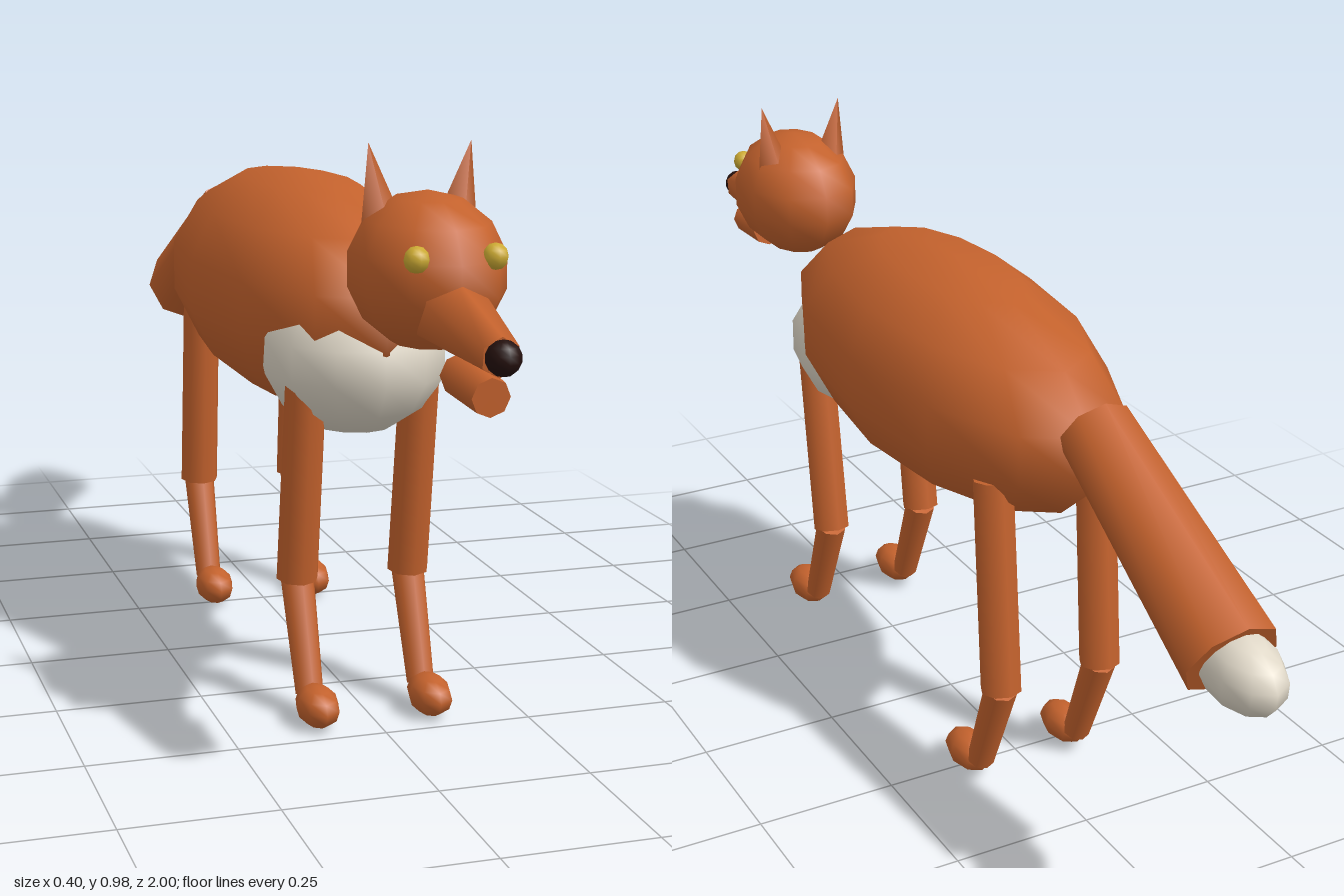
import * as THREE from 'three';

const mat = (name, color) => {
  const m = new THREE.MeshStandardMaterial({ color });
  m.name = name;
  return m;
};

export function createModel() {
  const fur = mat('russet fur', 0xc4622d);
  const cream = mat('cream fur', 0xe0d8c8);
  const amber = mat('amber eye', 0xccaa33);
  const black = mat('dark nose', 0x24100d);

  const group = new THREE.Group();

  function add(name, geometry, material, pos, parent = group) {
    const mesh = new THREE.Mesh(geometry, material);
    mesh.name = name;
    mesh.position.set(...pos);
    parent.add(mesh);
    return mesh;
  }

  // Low-segment ellipsoid with the given radii
  function ball(name, material, pos, radii, segs = 10, rings = 7, parent = group) {
    const g = new THREE.SphereGeometry(1, segs, rings);
    // a meridian faces straight ahead
    g.rotateY(Math.PI / 2);
    g.scale(...radii);
    g.computeVertexNormals();
    const smooth = new THREE.SphereGeometry(1, segs, rings);
    smooth.rotateY(Math.PI / 2);
    smooth.scale(...radii);
    return add(name, smooth, material, pos, parent);
  }

  // Tapered limb running from point a (radius ra) to point b (radius rb)
  function limb(name, material, a, b, ra, rb, sides = 8, parent = group) {
    const A = new THREE.Vector3(...a), B = new THREE.Vector3(...b);
    const dir = B.clone().sub(A);
    const g = new THREE.CylinderGeometry(rb, ra, dir.length(), sides);
    const mesh = add(name, g, material, A.add(B).multiplyScalar(0.5).toArray(), parent);
    mesh.quaternion.setFromUnitVectors(new THREE.Vector3(0, 1, 0), dir.normalize());
    return mesh;
  }

  // Torso and chest
  ball('body', fur, [0, 0.67, 0], [0.205, 0.203, 0.5], 12);
  ball('chest', cream, [0, 0.6, 0.31], [0.155, 0.135, 0.18], 12);

  // Head
  const head = new THREE.Group();
  head.name = 'head';
  group.add(head);
  ball('skull', fur, [0, 0.79, 0.665], [0.118, 0.12, 0.154], 10, 7, head);
  limb('snout', fur, [0, 0.742, 0.77], [0, 0.715, 0.965], 0.058, 0.03, 6, head);
  limb('lowerJaw', fur, [0, 0.662, 0.815], [0, 0.652, 0.932], 0.033, 0.029, 8, head);
  ball('nose', black, [0, 0.716, 0.974], [0.026, 0.026, 0.026], 10, 7, head);
  for (const s of [1, -1]) {
    ball('eye', amber, [s * 0.06, 0.826, 0.788], [0.02, 0.02, 0.02], 8, 6, head);
    limb('ear', fur, [s * 0.06, 0.86, 0.63], [s * 0.081, 0.978, 0.63], 0.032, 0, 4, head);
  }

  // Legs: hip, knee, ankle and paw positions along z
  const legs = [
    ['front', 0.373, 0.317, 0.39, 0.435],
    ['hind', -0.335, -0.37, -0.3, -0.255],
  ];
  for (const s of [1, -1]) {
    for (const [name, hip, knee, ankle, paw] of legs) {
      const leg = new THREE.Group();
      leg.name = name + (s > 0 ? 'LeftLeg' : 'RightLeg');
      group.add(leg);
      const x = s * 0.098;
      limb('upperLeg', fur, [x, 0.606, hip], [x, 0.22, knee], 0.035, 0.036, 8, leg);
      limb('lowerLeg', fur, [x, 0.222, knee], [x, 0.04, ankle], 0.029, 0.024, 8, leg);
      ball('paw', fur, [x, 0.034, paw], [0.036, 0.034, 0.058], 8, 6, leg);
    }
  }

  // Tail with a pale tip
  limb('tail', fur, [0, 0.735, -0.487], [0, 0.525, -0.885], 0.063, 0.08, 8);
  const tip = ball('tailTip', cream, [0, 0.522, -0.91], [0.058, 0.06, 0.092], 10);
  tip.rotation.x = -0.1;

  return group;
}
